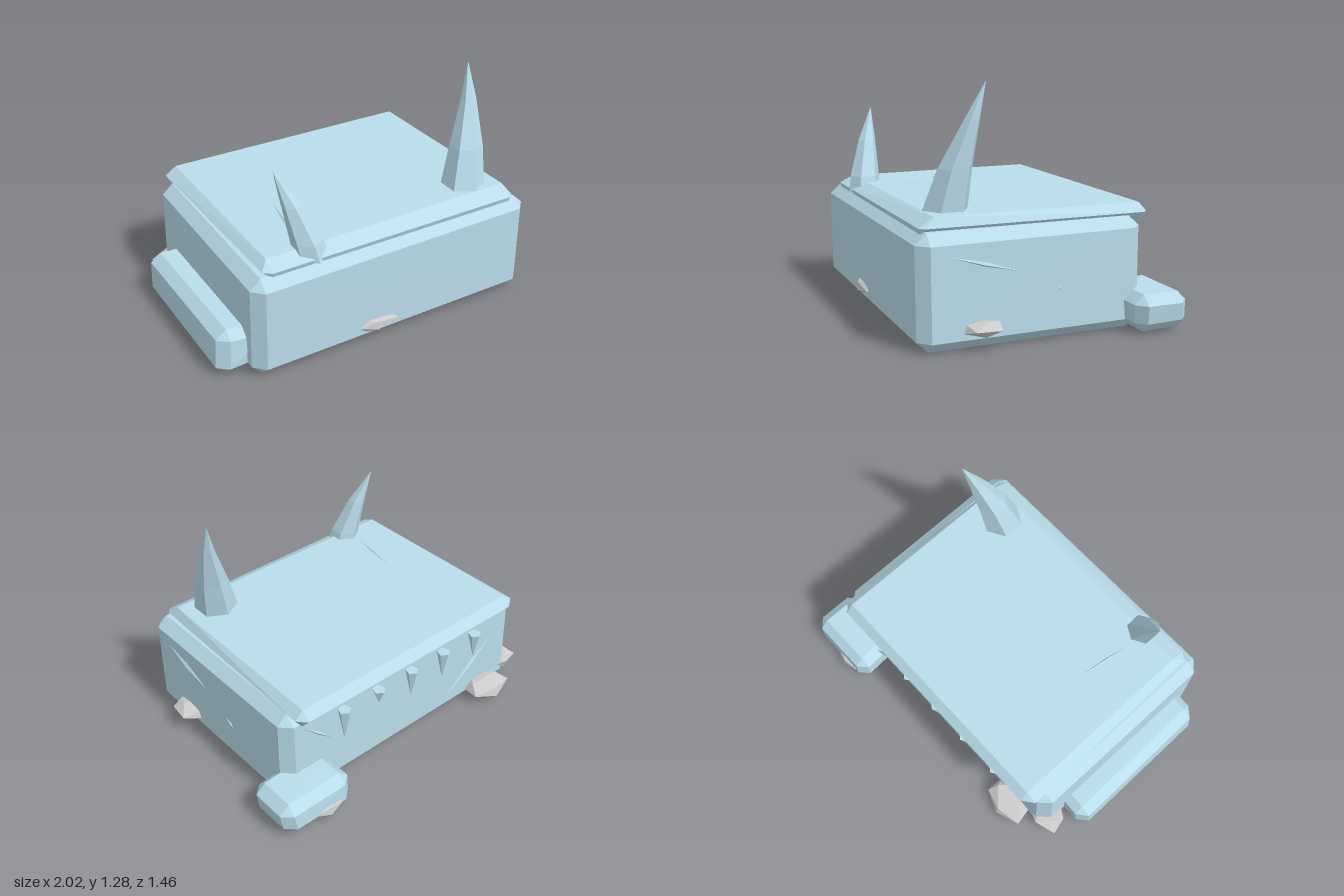
import * as THREE from 'three';
import { ConvexGeometry } from 'three/addons/geometries/ConvexGeometry.js';

const V = (x, y, z) => new THREE.Vector3(x, y, z);
const ice = new THREE.MeshStandardMaterial({ color: 0xb9dcea, flatShading: true });
const snow = new THREE.MeshStandardMaterial({ color: 0xf4f4f4, flatShading: true });

// Small repeatable number source for hand-cut irregularity
const makeRandom = (seed) => () => {
  seed = (seed * 16807) % 2147483647;
  return seed / 2147483647 - 0.5;
};

// Box with chamfered edges; rough shifts each corner as a whole
function cutBlock([x0, x1], [y0, y1], [z0, z1], [bx, by, bz], rough, seed) {
  const rnd = makeRandom(seed), points = [];
  for (const sx of [-1, 1]) for (const sy of [-1, 1]) for (const sz of [-1, 1]) {
    const c = V(sx < 0 ? x0 : x1, sy < 0 ? y0 : y1, sz < 0 ? z0 : z1);
    c.add(V(rnd() * rough, rnd() * rough * 0.6, rnd() * rough));
    const ix = c.x - sx * bx, iy = c.y - sy * by, iz = c.z - sz * bz;
    points.push(V(c.x, iy, iz), V(ix, c.y, iz), V(ix, iy, c.z));
  }
  return new ConvexGeometry(points);
}

// Curved faceted horn: rings listed as [x, y, z, radius]
function spikeGeometry(rings, sides) {
  const geo = new THREE.CylinderGeometry(1, 1, 1, sides, rings.length - 1);
  const p = geo.attributes.position;
  for (let i = 0; i < p.count; i++) {
    const [x, y, z, r] = rings[Math.round((p.getY(i) + 0.5) * (rings.length - 1))];
    p.setXYZ(i, x + p.getX(i) * r, y, z + p.getZ(i) * r);
  }
  return geo;
}

// Squashed faceted lump of snow
function lumpGeometry(center, size, seed) {
  const rnd = makeRandom(seed), points = [];
  const p = new THREE.IcosahedronGeometry(1, 0).attributes.position;
  const seen = new Map();
  for (let i = 0; i < p.count; i++) {
    const v = V().fromBufferAttribute(p, i);
    const key = v.toArray().map((n) => n.toFixed(2)).join();
    if (seen.has(key)) continue;
    seen.set(key, true);
    points.push(v.multiplyScalar(1 + rnd() * 0.35).multiply(V(...size)).add(V(...center)));
  }
  return new ConvexGeometry(points);
}

export function createModel() {
  const group = new THREE.Group();
  const add = (name, geo, mat = ice) => {
    const mesh = new THREE.Mesh(geo, mat);
    mesh.name = name;
    group.add(mesh);
    return mesh;
  };

  // Main block and overhanging top slab
  add('mainBlock', cutBlock([-0.84, 0.855], [0.01, 0.59], [-0.52, 0.7], [0.06, 0.055, 0.06], 0.018, 11));
  const slab = [];
  for (const [x, xi] of [[-0.785, -0.72], [0.8, 0.75]]) {
    const end = x < 0 ? 0.645 : 0.655;
    slab.push(
      V(xi, end, 0.58), V(xi, 0.65, -0.54),
      V(x + (x < 0 ? 0.02 : -0.02), 0.605, 0.63), V(xi, 0.605, 0.66), V(xi, 0.575, 0.65),
      V(x, 0.605, -0.54), V(xi, 0.6, -0.587), V(xi, 0.535, -0.53),
    );
  }
  add('topSlab', new ConvexGeometry(slab));

  // Smaller blocks frozen to the sides
  add('leftLongBlock', cutBlock([0.57, 1.0], [0.02, 0.215], [-0.71, -0.41], [0.055, 0.05, 0.05], 0.02, 23)).name = 'cornerBlock';
  add('sideBlock', cutBlock([-1.0, -0.65], [0.02, 0.265], [-0.35, 0.59], [0.06, 0.045, 0.05], 0.018, 31));

  // Two horns on the front edge
  add('leftSpike', spikeGeometry([
    [0.565, 0.62, 0.465, 0.125], [0.61, 0.86, 0.42, 0.092],
    [0.662, 1.1, 0.35, 0.042], [0.69, 1.285, 0.29, 0.002]], 6));
  add('rightSpike', spikeGeometry([
    [-0.465, 0.585, 0.58, 0.092], [-0.485, 0.68, 0.57, 0.085],
    [-0.55, 0.88, 0.535, 0.05], [-0.62, 1.06, 0.49, 0.002]], 6));

  // Icicles in a row under the back edge
  [[0.49, 0.2], [0.25, 0.09], [0.01, 0.18], [-0.23, 0.18], [-0.48, 0.16]].forEach(([x, h], i) => {
    const geo = new THREE.ConeGeometry(0.038, h, 5).rotateX(Math.PI);
    add('icicle' + (i + 1), geo).position.set(x, 0.51 - h / 2, -0.555);
  });

  // Snow lumps around the base
  [
    [[-0.14, 0.11, 0.68], [0.14, 0.042, 0.045]],
    [[0.85, 0.12, 0.375], [0.1, 0.042, 0.11]],
    [[-0.6, 0.075, -0.56], [0.17, 0.05, 0.12]],
    [[-0.81, 0.1, -0.45], [0.13, 0.045, 0.1]],
    [[0.73, 0.07, -0.68], [0.1, 0.038, 0.055]],
  ].forEach(([center, size], i) => add('snowLump' + (i + 1), lumpGeometry(center, size, 41 + i * 97), snow));

  // Thin cracks: slivers stretched between two points on the surface
  [
    [[0.855, 0.48, 0.55], [0.86, 0.38, 0.18], 0.012],
    [[0.858, 0.29, 0], [0.86, 0.255, -0.07], 0.005],
    [[-0.44, 0.65, 0.12], [-0.5, 0.645, 0.48], 0.009],
    [[-0.27, 0.08, -0.52], [-0.68, 0.4, -0.52], 0.013],
    [[0.73, 0.5, -0.52], [0.54, 0.32, -0.52], 0.009],
  ].forEach(([a, b, w], i) => {
    const from = V(...a), to = V(...b), dir = to.clone().sub(from);
    const crack = add('crack' + (i + 1), new THREE.OctahedronGeometry(1, 0));
    crack.scale.set(dir.length() / 2, w, w);
    crack.quaternion.setFromUnitVectors(V(1, 0, 0), dir.normalize());
    crack.position.copy(from.add(to).multiplyScalar(0.5));
  });

  return group;
}
